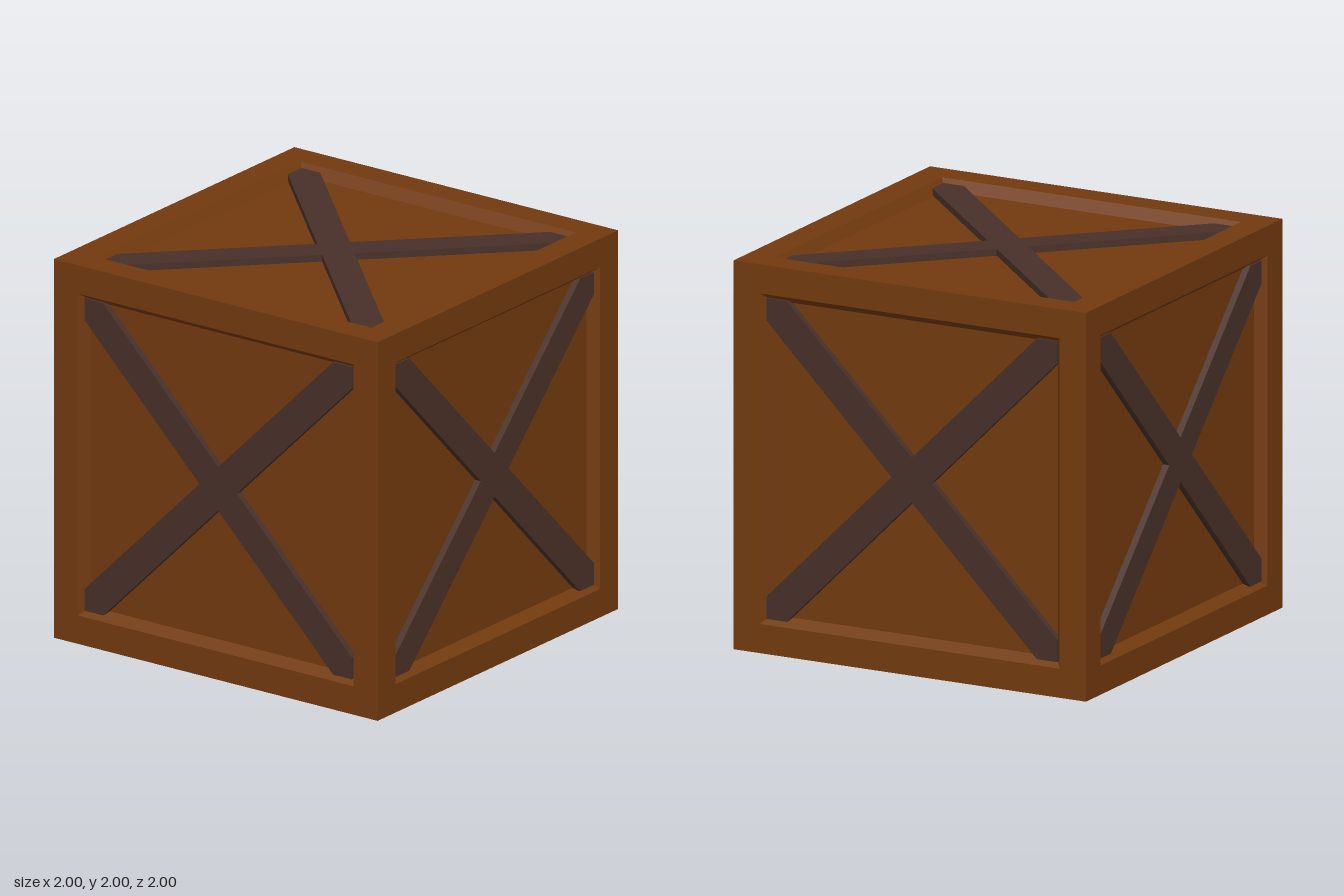
import * as THREE from 'three';

const OPENING = 0.85; // half width of the frame opening
const PANEL = 0.81;   // half width of the sunken panel
const DEPTH = 0.055;  // panel depth below the frame
const BRACE_TOP = 0.02; // brace depth below the frame

// Square frame with a bevelled inner rim, facing +z
function frameGeometry() {
  const profile = [[1, 1], [OPENING, 1], [PANEL, 1 - DEPTH]]
    .map(([r, y]) => new THREE.Vector2(r * Math.SQRT2, y));
  const geometry = new THREE.LatheGeometry(profile, 4, Math.PI / 4).toNonIndexed();
  geometry.rotateX(Math.PI / 2);
  geometry.computeVertexNormals();
  return geometry;
}

// Diagonal cross with ends cut square to the opening
function crossGeometry() {
  const end = 0.825, half = 0.115;
  const points = [];
  for (let i = 0; i < 4; i++) {
    for (const [x, y] of [[end, end - half], [end, end], [end - half, end], [0, half]]) {
      points.push(new THREE.Vector2(x, y).rotateAround(new THREE.Vector2(), i * Math.PI / 2));
    }
  }
  const geometry = new THREE.ExtrudeGeometry(new THREE.Shape(points), {
    depth: DEPTH - BRACE_TOP, bevelEnabled: false,
  });
  return geometry.translate(0, 0, 1 - DEPTH);
}

export function createModel() {
  const wood = new THREE.MeshStandardMaterial({ color: 0x723a0e });
  wood.name = 'brown wood';
  const darkWood = new THREE.MeshStandardMaterial({ color: 0x483028 });
  darkWood.name = 'dark wood';

  const frame = frameGeometry();
  const panel = new THREE.PlaneGeometry(2 * PANEL, 2 * PANEL).translate(0, 0, 1 - DEPTH);
  const cross = crossGeometry();

  const crate = new THREE.Group();
  crate.name = 'crate';

  // Six identical sides turned around the centre
  const q = Math.PI / 2;
  const sides = {
    front: [0, 0], left: [0, q], back: [0, 2 * q], right: [0, -q], top: [-q, 0], bottom: [q, 0],
  };
  for (const [name, [rx, ry]] of Object.entries(sides)) {
    const side = new THREE.Group();
    side.name = name + 'Side';
    for (const [part, geometry, material] of [
      ['Frame', frame, wood], ['Panel', panel, wood], ['CrossBrace', cross, darkWood],
    ]) {
      const mesh = new THREE.Mesh(geometry, material);
      mesh.name = name + part;
      side.add(mesh);
    }
    side.rotation.set(rx, ry, 0);
    side.position.y = 1;
    crate.add(side);
  }
  return crate;
}
